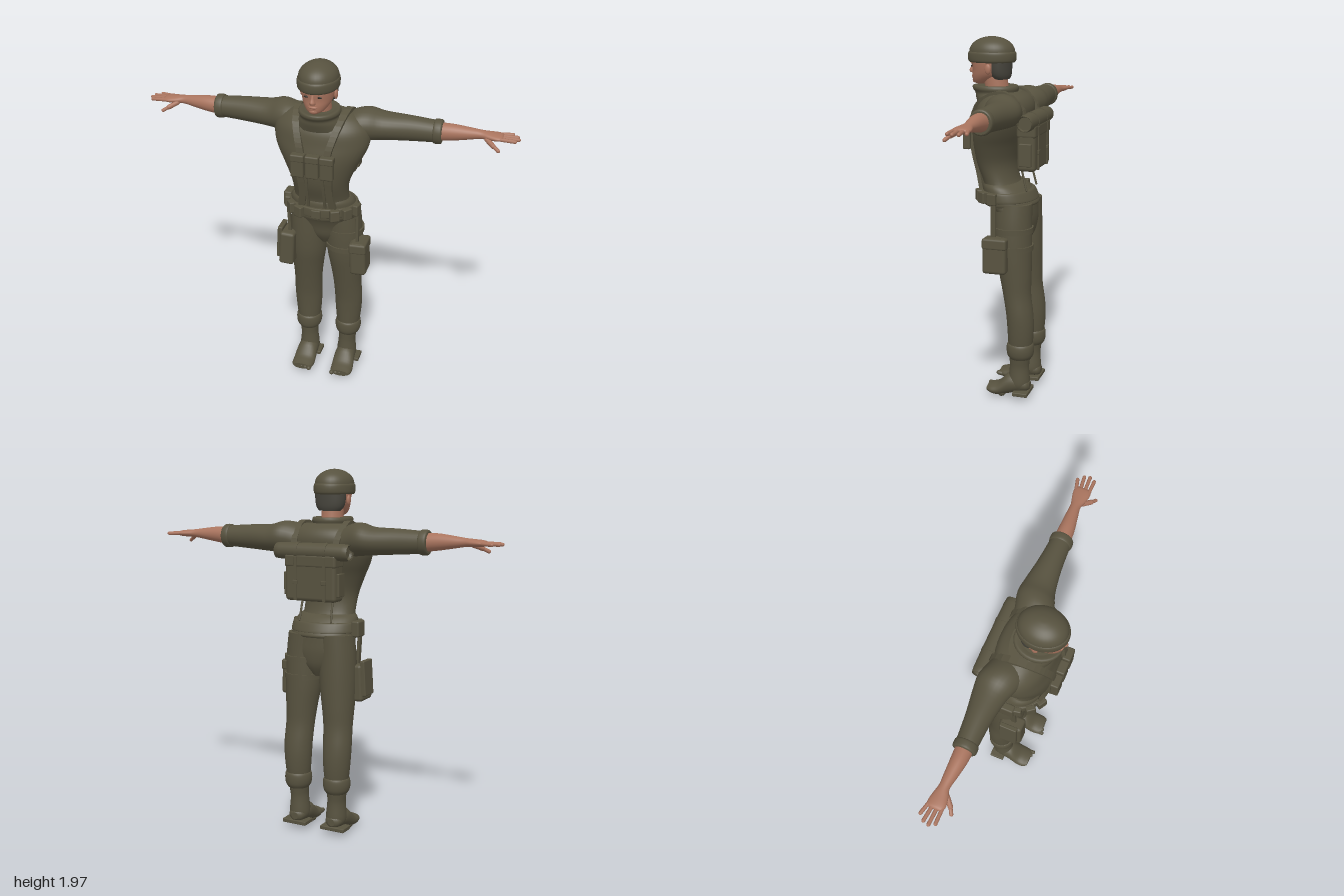
import * as THREE from 'three';
import { RoundedBoxGeometry } from 'three/addons/geometries/RoundedBoxGeometry.js';

const mat = (name, color) => Object.assign(new THREE.MeshStandardMaterial({ color }), { name });

// Smooth curve value through b and c, at t from 0 to 1
const blend = (a, b, c, d, t) =>
  b + 0.5 * t * (c - a + t * (2 * a - 5 * b + 4 * c - d + t * (3 * (b - c) + d - a)));

// Closed skin over elliptical sections; row = [position on axis, centre a, centre b, radius a, radius b]
function loft(axis, rows, seg = 28, sub = 4) {
  const path = [], last = rows.length - 1;
  for (let i = 0; i < last; i++) {
    const before = rows[Math.max(i - 1, 0)], after = rows[Math.min(i + 2, last)];
    for (let k = 0; k < sub; k++) {
      path.push(rows[i].map((v, c) => blend(before[c], v, rows[i + 1][c], after[c], k / sub)));
    }
  }
  path.push(rows[last]);
  const pos = [], index = [];
  const flip = (axis === 'y') !== (rows[last][0] < rows[0][0]);
  const put = (t, a, b) => pos.push(...(axis === 'y' ? [a, t, b] : axis === 'x' ? [t, a, b] : [a, b, t]));
  const tri = (a, b, c) => index.push(...(flip ? [a, c, b] : [a, b, c]));
  const ring = ([t, a, b, ra, rb]) => {
    const start = pos.length / 3;
    for (let j = 0; j < seg; j++) {
      const w = (j / seg) * Math.PI * 2;
      put(t, a + ra * Math.cos(w), b + rb * Math.sin(w));
    }
    return start;
  };
  path.forEach(ring);
  for (let i = 0; i < path.length - 1; i++) for (let j = 0; j < seg; j++) {
    const a = i * seg + j, b = i * seg + (j + 1) % seg;
    tri(a, b, b + seg);
    tri(a, b + seg, a + seg);
  }
  [path[0], path[path.length - 1]].forEach((row, end) => {
    const s = ring(row), c = pos.length / 3;
    put(row[0], row[1], row[2]);
    for (let j = 0; j < seg; j++) {
      const n = s + (j + 1) % seg;
      if (end) tri(c, s + j, n);
      else tri(c, n, s + j);
    }
  });
  const g = new THREE.BufferGeometry();
  g.setAttribute('position', new THREE.Float32BufferAttribute(pos, 3));
  g.setIndex(index);
  g.computeVertexNormals();
  return g;
}

// Flat webbing whose width stays along x
function webbing(points, width, thick) {
  const curve = new THREE.CatmullRomCurve3(points.map(p => new THREE.Vector3(...p)));
  const n = 28, pos = [], index = [], side = new THREE.Vector3(1, 0, 0);
  for (let i = 0; i <= n; i++) {
    const p = curve.getPoint(i / n), up = side.clone().cross(curve.getTangent(i / n)).normalize();
    for (const [u, v] of [[-1, -1], [1, -1], [1, 1], [-1, 1]]) {
      const q = p.clone().addScaledVector(side, u * width / 2).addScaledVector(up, v * thick / 2);
      pos.push(q.x, q.y, q.z);
    }
  }
  for (let i = 0; i < n; i++) for (let j = 0; j < 4; j++) {
    const a = i * 4 + j, b = i * 4 + (j + 1) % 4;
    index.push(a, b + 4, b, a, a + 4, b + 4);
  }
  const indexed = new THREE.BufferGeometry();
  indexed.setAttribute('position', new THREE.Float32BufferAttribute(pos, 3));
  indexed.setIndex(index);
  const g = indexed.toNonIndexed();
  g.computeVertexNormals();
  return g;
}

export function createModel() {
  const root = new THREE.Group();
  root.name = 'soldier';
  const olive = mat('olive cloth', 0x57523f), skin = mat('skin', 0xa9745e);
  const hair = mat('dark hair', 0x47453d), eye = mat('eye', 0x2c2822);
  const add = (name, geo, m = olive, p = [0, 0, 0], r = [0, 0, 0]) => {
    const mesh = new THREE.Mesh(geo, m);
    mesh.name = name;
    mesh.position.set(...p);
    mesh.rotation.set(...r);
    root.add(mesh);
    return mesh;
  };
  const box = (name, w, h, d, p, r) => add(name, new RoundedBoxGeometry(w, h, d, 2, Math.min(w, h, d) * 0.2), olive, p, r);
  const ball = (name, rx, ry, rz, p, m) => add(name, new THREE.SphereGeometry(1, 16, 12).scale(rx, ry, rz), m, p);
  const rod = (name, a, b, r, m) => {
    const start = new THREE.Vector3(...a), d = new THREE.Vector3(...b).sub(start);
    const mesh = add(name, new THREE.CapsuleGeometry(r, d.length(), 4, 10), m);
    mesh.position.copy(start).addScaledVector(d, 0.5);
    mesh.quaternion.setFromUnitVectors(new THREE.Vector3(0, 1, 0), d.normalize());
  };

  // Head
  add('neck', loft('y', [[1.6, 0, 0.04, 0.06, 0.06], [1.78, 0, 0.065, 0.058, 0.065]]), skin);
  add('head', loft('y', [[1.718, 0, 0.145, 0.02, 0.025], [1.732, 0, 0.132, 0.045, 0.052], [1.76, 0, 0.102, 0.068, 0.086],
    [1.79, 0, 0.086, 0.08, 0.1], [1.83, 0, 0.082, 0.085, 0.108], [1.88, 0, 0.08, 0.085, 0.11]]), skin);
  add('hair', loft('y', [[1.745, 0, 0.025, 0.062, 0.04], [1.765, 0, 0.03, 0.078, 0.052], [1.8, 0, 0.033, 0.087, 0.058],
    [1.87, 0, 0.035, 0.09, 0.062]]), hair);
  add('nose', loft('y', [[1.775, 0, 0.186, 0.015, 0.012], [1.786, 0, 0.188, 0.015, 0.02], [1.805, 0, 0.186, 0.009, 0.012],
    [1.825, 0, 0.184, 0.008, 0.006]], 12), skin);
  ball('lips', 0.025, 0.008, 0.011, [0, 1.758, 0.181], skin);
  ball('chin', 0.025, 0.016, 0.018, [0, 1.735, 0.17], skin);
  for (const s of [1, -1]) {
    ball('ear', 0.01, 0.027, 0.017, [s * 0.088, 1.8, 0.075], skin);
    ball('eye', 0.013, 0.005, 0.004, [s * 0.034, 1.812, 0.181], eye);
    ball('brow', 0.021, 0.006, 0.008, [s * 0.034, 1.828, 0.178], skin);
  }
  add('helmetShell', loft('y', [[1.86, 0, 0.08, 0.102, 0.124], [1.9, 0, 0.08, 0.1, 0.121], [1.93, 0, 0.08, 0.084, 0.102],
    [1.952, 0, 0.08, 0.054, 0.068], [1.963, 0, 0.08, 0.022, 0.028], [1.965, 0, 0.08, 0.002, 0.003]], 36));
  add('helmetBand', loft('y', [[1.832, 0, 0.08, 0.098, 0.121], [1.84, 0, 0.08, 0.105, 0.128], [1.86, 0, 0.08, 0.107, 0.131],
    [1.88, 0, 0.08, 0.106, 0.129], [1.888, 0, 0.08, 0.1, 0.122]], 36));
  add('collar', loft('y', [[1.61, 0, 0.03, 0.135, 0.12], [1.65, 0, 0.045, 0.116, 0.12], [1.675, 0, 0.055, 0.102, 0.115],
    [1.695, 0, 0.06, 0.108, 0.124], [1.712, 0, 0.062, 0.1, 0.118], [1.708, 0, 0.062, 0.075, 0.085]]));

  // Torso and hips
  add('jacket', loft('y', [[1.15, 0, 0, 0.165, 0.12], [1.2, 0, 0.022, 0.15, 0.095], [1.3, 0, 0.05, 0.155, 0.105],
    [1.4, 0, 0.045, 0.195, 0.125], [1.47, 0, 0.03, 0.232, 0.14], [1.53, 0, 0.015, 0.253, 0.144], [1.6, 0, 0.002, 0.25, 0.143],
    [1.65, 0, -0.005, 0.21, 0.115], [1.68, 0, 0, 0.14, 0.075]], 40));
  add('jacketHem', loft('y', [[1.085, 0, -0.03, 0.182, 0.145], [1.1, 0, -0.03, 0.187, 0.149], [1.14, 0, -0.017, 0.182, 0.137],
    [1.18, 0, 0.003, 0.172, 0.118], [1.2, 0, 0.015, 0.155, 0.1]], 40));
  add('belt', loft('y', [[1.108, 0, -0.02, 0.188, 0.15], [1.115, 0, -0.02, 0.194, 0.154], [1.155, 0, -0.01, 0.19, 0.145],
    [1.162, 0, -0.008, 0.184, 0.138]], 40));
  add('pelvis', loft('y', [[1.1, 0, -0.03, 0.18, 0.14], [1.06, 0, -0.055, 0.187, 0.115], [1.0, 0, -0.07, 0.175, 0.1],
    [0.93, 0, -0.073, 0.12, 0.085], [0.87, 0, -0.075, 0.04, 0.05]]));
  for (const deg of [12, 38, 60, 120, 142, 168]) {
    const w = deg * Math.PI / 180;
    box('beltPouch', 0.052, 0.062, 0.032, [0.196 * Math.cos(w), 1.132, -0.012 + 0.157 * Math.sin(w)], [0, Math.PI / 2 - w, 0]);
  }
  box('beltBuckle', 0.05, 0.048, 0.02, [0, 1.134, 0.138]);
  box('canteen', 0.045, 0.085, 0.08, [-0.2, 1.13, -0.03]);

  // Chest gear
  for (const x of [-0.08, -0.002, 0.075]) {
    box('chestPouch', 0.07, 0.122, 0.042, [x, 1.437, 0.191]);
    box('chestPouchFlap', 0.074, 0.04, 0.046, [x, 1.481, 0.191]);
  }
  for (const s of [1, -1]) {
    add('harnessStrap', webbing([[s * 0.11, 1.42, -0.115], [s * 0.125, 1.58, -0.135], [s * 0.135, 1.685, -0.03], [s * 0.115, 1.645, 0.1],
      [s * 0.09, 1.57, 0.152], [s * 0.07, 1.49, 0.172], [s * 0.075, 1.36, 0.157], [s * 0.072, 1.26, 0.134], [s * 0.085, 1.17, 0.112]], 0.036, 0.02));
    add('frontStrap', webbing([[s * 0.04, 1.4, 0.174], [s * 0.045, 1.3, 0.155], [s * 0.045, 1.17, 0.12]], 0.014, 0.012));
  }

  // Backpack
  box('packBody', 0.3, 0.245, 0.1, [0, 1.403, -0.15]);
  box('packFlap', 0.304, 0.07, 0.104, [0, 1.492, -0.151]);
  add('bedRoll', loft('x', [[-0.195, 1.54, -0.16, 0.034, 0.034], [-0.185, 1.54, -0.16, 0.044, 0.045],
    [0.185, 1.54, -0.16, 0.044, 0.045], [0.195, 1.54, -0.16, 0.034, 0.034]], 24, 3));
  for (const s of [1, -1]) {
    box('packStrap', 0.018, 0.23, 0.01, [s * 0.085, 1.4, -0.201]);
    box('packBuckle', 0.028, 0.022, 0.012, [s * 0.085, 1.38, -0.203]);
    add('rollStrap', new THREE.CylinderGeometry(0.048, 0.048, 0.018, 24), olive, [s * 0.085, 1.54, -0.16], [0, 0, Math.PI / 2]);
    rod('packTie', [s * 0.09, 1.29, -0.11], [s * 0.095, 1.17, -0.14], 0.006);
    box('packSidePocket', 0.02, 0.12, 0.065, [s * 0.155, 1.37, -0.15]);
  }

  for (const s of [1, -1]) {
    // Arms and hands
    const across = rows => loft('x', rows.map(([t, ...q]) => [t * s, ...q]));
    add('sleeve', across([[0.1, 1.575, -0.03, 0.08, 0.09], [0.18, 1.598, -0.04, 0.088, 0.1], [0.24, 1.604, -0.055, 0.085, 0.1],
      [0.31, 1.598, -0.065, 0.073, 0.085], [0.44, 1.6, -0.065, 0.066, 0.065], [0.58, 1.6, -0.063, 0.057, 0.054]]));
    add('sleeveCuff', across([[0.565, 1.6, -0.063, 0.055, 0.052], [0.572, 1.6, -0.063, 0.064, 0.06],
      [0.602, 1.6, -0.063, 0.064, 0.06], [0.61, 1.6, -0.063, 0.056, 0.053]]));
    add('forearm', across([[0.58, 1.6, -0.063, 0.048, 0.045], [0.66, 1.605, -0.063, 0.043, 0.041], [0.74, 1.607, -0.068, 0.032, 0.033],
      [0.8, 1.608, -0.072, 0.023, 0.027], [0.84, 1.607, -0.071, 0.02, 0.037], [0.88, 1.606, -0.071, 0.018, 0.045],
      [0.905, 1.606, -0.072, 0.014, 0.042], [0.915, 1.606, -0.072, 0.006, 0.03]]), skin);
    for (const [z0, z1, tip] of [[-0.105, -0.122, 0.955], [-0.084, -0.095, 0.982], [-0.061, -0.066, 0.99], [-0.038, -0.038, 0.975]])
      rod('finger', [s * 0.89, 1.606, z0], [s * tip, 1.603, z1], 0.0095, skin);
    rod('thumb', [s * 0.835, 1.595, -0.045], [s * 0.872, 1.578, -0.012], 0.013, skin);
    rod('thumbTip', [s * 0.872, 1.578, -0.012], [s * 0.9, 1.562, 0.004], 0.0095, skin);

    // Legs and feet
    const limb = rows => loft('y', rows.map(([t, x, ...q]) => [t, x * s, ...q]));
    add('trouserLeg', limb([[1.1, 0.092, -0.07, 0.095, 0.1], [1.0, 0.1, -0.07, 0.099, 0.1], [0.9, 0.103, -0.072, 0.101, 0.1],
      [0.8, 0.106, -0.077, 0.098, 0.096], [0.7, 0.112, -0.087, 0.088, 0.086], [0.6, 0.116, -0.097, 0.08, 0.076],
      [0.5, 0.12, -0.112, 0.079, 0.074], [0.42, 0.12, -0.118, 0.076, 0.073], [0.33, 0.119, -0.118, 0.068, 0.068],
      [0.22, 0.117, -0.113, 0.052, 0.056], [0.17, 0.115, -0.111, 0.05, 0.054], [0.09, 0.114, -0.11, 0.057, 0.06], [0.055, 0.114, -0.11, 0.045, 0.052]]));
    add('trouserCuff', limb([[0.235, 0.119, -0.117, 0.058, 0.06], [0.255, 0.119, -0.117, 0.07, 0.072], [0.285, 0.119, -0.117, 0.075, 0.076],
      [0.315, 0.119, -0.117, 0.071, 0.073], [0.325, 0.119, -0.117, 0.06, 0.062]]));
    add('foot', loft('z', [[-0.172, s * 0.114, 0.075, 0.02, 0.02], [-0.155, s * 0.114, 0.077, 0.044, 0.035], [-0.1, s * 0.114, 0.085, 0.056, 0.055],
      [-0.05, s * 0.115, 0.075, 0.06, 0.06], [0, s * 0.117, 0.045, 0.064, 0.04], [0.04, s * 0.118, 0.04, 0.062, 0.028],
      [0.065, s * 0.117, 0.043, 0.05, 0.018]]));
    for (let i = 0; i < 5; i++)
      rod('toe', [s * (0.072 + i * 0.022), 0.036, 0.03], [s * (0.07 + i * 0.023), 0.042, 0.07 - i * 0.006], 0.013 - i * 0.001);
    box('heelPlate', 0.145, 0.022, 0.085, [s * 0.118, 0.039, -0.132]);
    rod('ballOfFoot', [s * 0.09, 0.024, -0.015], [s * 0.14, 0.024, -0.015], 0.024);
  }

  // Left thigh bag with leg bands
  for (const y of [0.96, 0.862])
    add('thighBand', loft('y', [[y - 0.014, 0.104, -0.073, 0.107, 0.107], [y + 0.014, 0.104, -0.073, 0.107, 0.107]], 28, 1));
  box('thighBag', 0.09, 0.195, 0.13, [0.207, 0.835, -0.006], [0, 0, 0.04]);
  box('thighBagFlap', 0.095, 0.06, 0.134, [0.205, 0.9, -0.006], [0, 0, 0.04]);
  box('thighBagHanger', 0.016, 0.19, 0.028, [0.196, 1.01, 0.012]);

  // Right thigh holster
  box('holster', 0.085, 0.2, 0.13, [-0.198, 0.838, -0.005], [0, 0, -0.05]);
  box('holsterSide', 0.028, 0.19, 0.1, [-0.243, 0.865, -0.01], [0, 0, -0.06]);
  box('holsterHanger', 0.016, 0.2, 0.03, [-0.192, 1.01, 0.0], [0, 0, 0.06]);
  return root;
}
